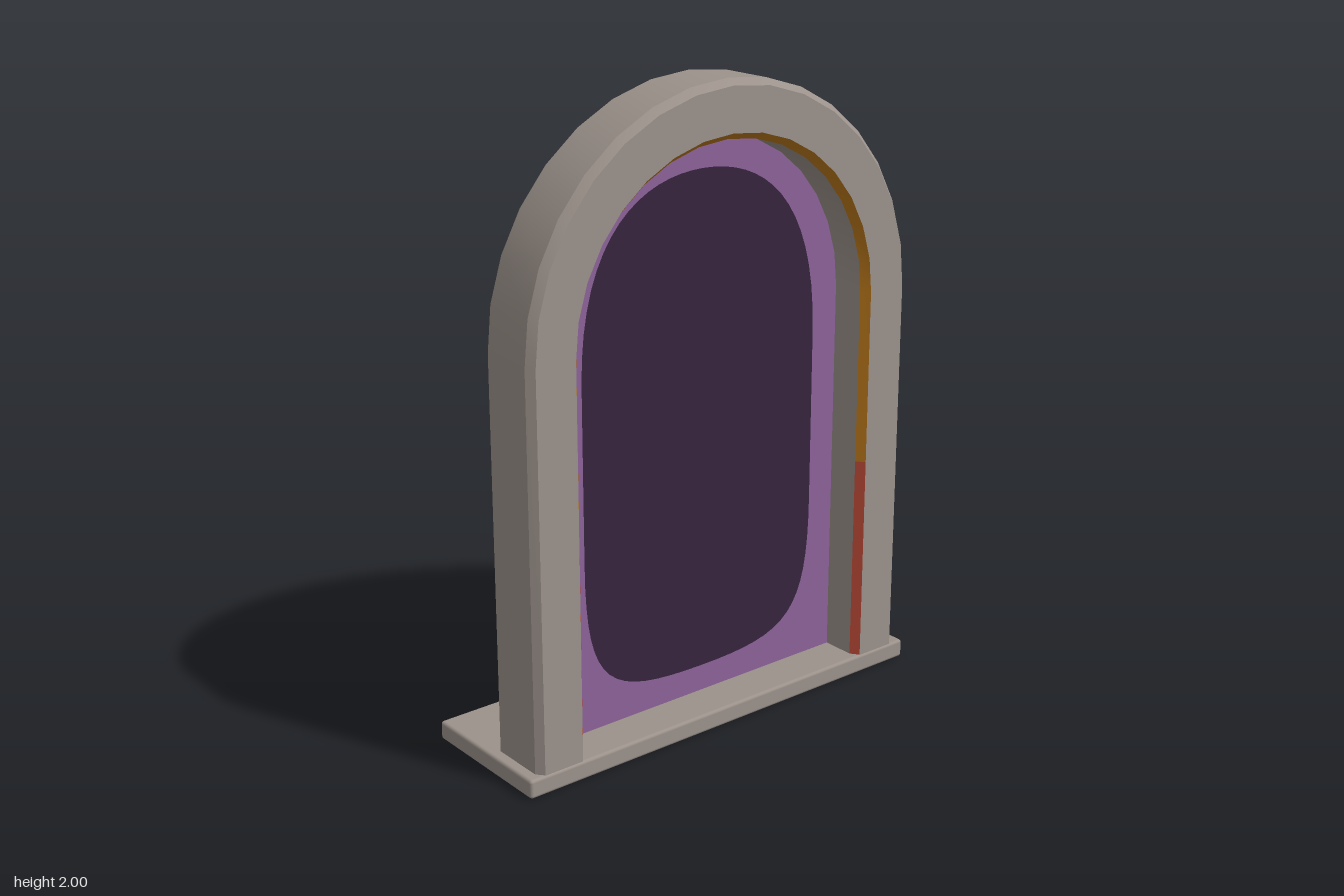
import * as THREE from 'three';
import { mergeGeometries } from 'three/addons/utils/BufferGeometryUtils.js';
import { RoundedBoxGeometry } from 'three/addons/geometries/RoundedBoxGeometry.js';

const FLOOR = 0.06, SPLIT = 0.73, SPRING = 1.285, ARC_SEGMENTS = 16;
const PANEL_Z = 0.1, INNER = 0.54;

const material = (name, color, side = THREE.FrontSide) => {
  const m = new THREE.MeshStandardMaterial({ color, side });
  m.name = name;
  return m;
};

// Path stations: base height plus the outward direction of the arch radius
const station = (angle, y) => ({ c: Math.cos(angle), s: Math.sin(angle), y });
function archPath(bottom) {
  const path = [station(0, bottom)];
  for (let i = 0; i <= ARC_SEGMENTS; i++) path.push(station((Math.PI * i) / ARC_SEGMENTS, SPRING));
  path.push({ c: -1, s: 0, y: bottom });
  return path;
}

// Sweeps a profile of [radius, z] points; smooth along the path, creased across it
function sweep(profile, path) {
  const strips = [];
  for (let j = 0; j < profile.length - 1; j++) {
    const positions = [], index = [];
    path.forEach((p, i) => {
      for (const [r, z] of [profile[j], profile[j + 1]]) positions.push(p.c * r, p.y + p.s * r, z);
      if (i < path.length - 1) {
        const a = i * 2;
        index.push(a, a + 2, a + 3, a, a + 3, a + 1);
      }
    });
    const g = new THREE.BufferGeometry();
    g.setAttribute('position', new THREE.Float32BufferAttribute(positions, 3));
    g.setIndex(index);
    g.computeVertexNormals();
    strips.push(g);
  }
  return mergeGeometries(strips);
}

// Rounded dark centre of the panel
function traceCentre(path) {
  path.moveTo(0, 1.725);
  path.bezierCurveTo(0.22, 1.725, 0.445, 1.6, 0.445, 1.15);
  path.lineTo(0.445, 0.6);
  path.bezierCurveTo(0.445, 0.2, 0.36, 0.145, 0, 0.145);
  path.bezierCurveTo(-0.36, 0.145, -0.445, 0.2, -0.445, 0.6);
  path.lineTo(-0.445, 1.15);
  path.bezierCurveTo(-0.445, 1.6, -0.22, 1.725, 0, 1.725);
  return path;
}

export function createModel() {
  const group = new THREE.Group();
  const stone = material('stone', 0x9c928b);
  const gold = material('gold', 0xb8761a);
  const red = material('red', 0xbc4a36);
  const purple = material('purple', 0x8c6298, THREE.DoubleSide);
  const dark = material('darkPurple', 0x37243f, THREE.DoubleSide);

  const add = (name, geometry, mat) => {
    const mesh = new THREE.Mesh(geometry, mat);
    mesh.name = name;
    group.add(mesh);
    return mesh;
  };

  // Base slab
  add('baseSlab', new RoundedBoxGeometry(1.5, FLOOR, 0.48, 2, 0.01), stone).position.y = FLOOR / 2;

  // Stone arch: outer wall and plain front
  const full = archPath(FLOOR - 0.01);
  add('archOuter', sweep([[0.715, 0.035], [0.715, 0.212], [0.695, 0.235], [0.56, 0.235]], full), stone);

  // Inner wall and moulded back with three shallow grooves
  const back = [[INNER, 0.208], [INNER, 0.02], [0.55, 0.01], [0.585, 0.01]];
  for (const r of [0.585, 0.615, 0.645]) {
    back.push([r + 0.004, 0.026], [r + 0.014, 0.026], [r + 0.018, 0.01], [r + 0.03, 0.01]);
  }
  back.push([0.683, 0.01], [0.705, 0.02], [0.715, 0.035]);
  add('archInner', sweep(back, full), stone);

  // Coloured bevel around the front of the opening
  const bevel = [[0.56, 0.235], [INNER, 0.208]];
  add('goldTrim', sweep(bevel, archPath(SPLIT)), gold);
  const legs = [
    [{ c: 1, s: 0, y: FLOOR }, { c: 1, s: 0, y: SPLIT }],
    [{ c: -1, s: 0, y: SPLIT }, { c: -1, s: 0, y: FLOOR }],
  ];
  legs.forEach((leg, i) => add(i ? 'redTrimRight' : 'redTrimLeft', sweep(bevel, leg), red));

  // Panel filling the opening, with its dark centre
  const border = new THREE.Shape(archPath(FLOOR).map((p) => new THREE.Vector2(p.c * INNER, p.y + p.s * INNER)));
  border.holes.push(traceCentre(new THREE.Path()));
  add('panelBorder', new THREE.ShapeGeometry(border, 16), purple).position.z = PANEL_Z;
  add('panelCentre', new THREE.ShapeGeometry(traceCentre(new THREE.Shape()), 16), dark).position.z = PANEL_Z;

  return group;
}
